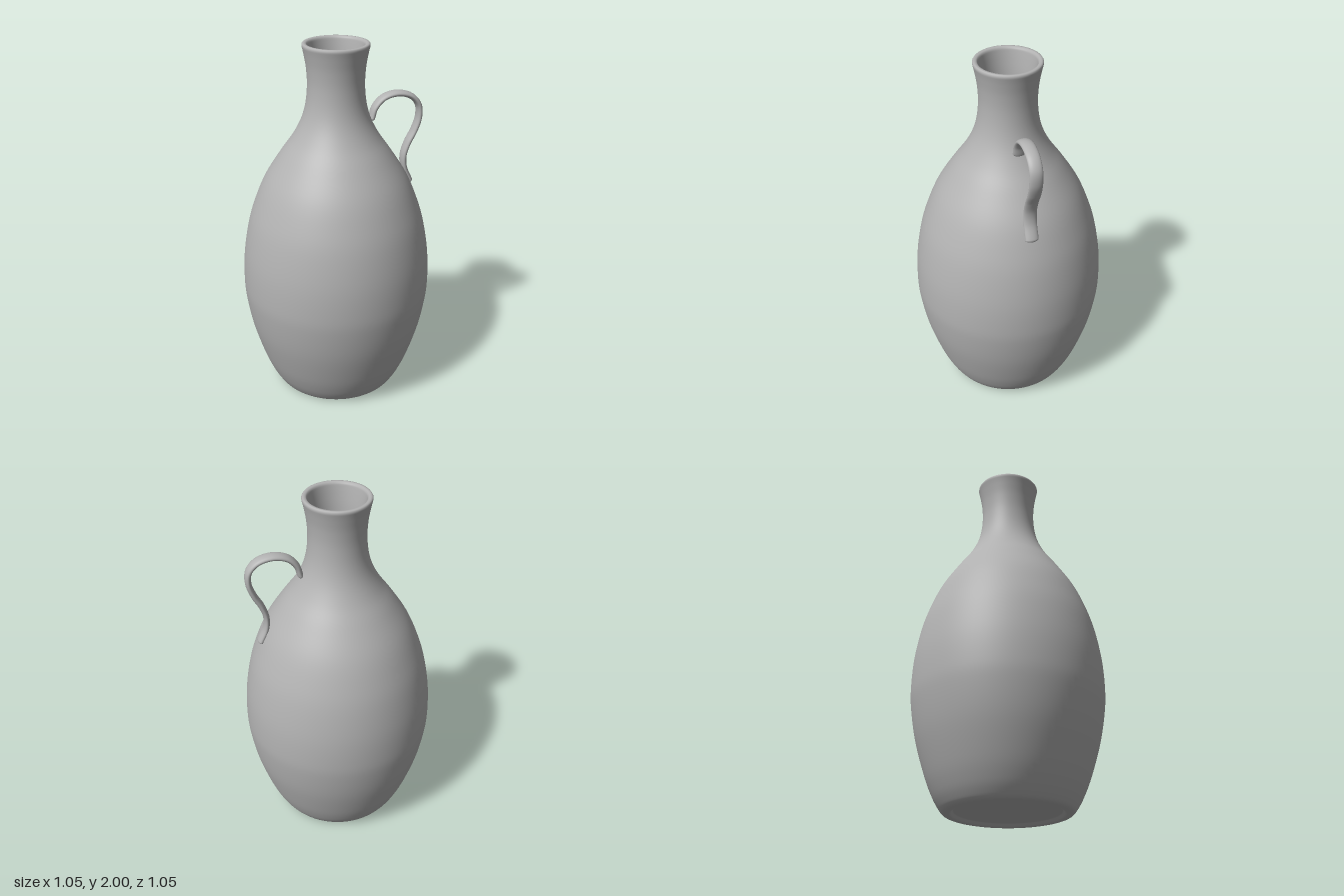
import * as THREE from 'three';

const v2 = (p) => new THREE.Vector2(p[0], p[1]);
const smooth = (pts, n) => new THREE.SplineCurve(pts.map(v2)).getPoints(n);

export function createModel() {
  const group = new THREE.Group();
  const clay = new THREE.MeshStandardMaterial({ color: 0xb2b2b2 });
  clay.name = 'grey clay';

  const add = (name, geometry) => {
    const mesh = new THREE.Mesh(geometry, clay);
    mesh.name = name;
    group.add(mesh);
    return mesh;
  };

  // Body: recessed underside, foot ring, outer wall, rim, inner wall and floor
  const underside = [[0, 0.02], [0.27, 0.02], [0.28, 0.02], [0.286, 0.016], [0.292, 0.006], [0.302, 0.001]].map(v2);
  const outer = smooth([
    [0.315, 0], [0.34, 0.008], [0.362, 0.035], [0.395, 0.095], [0.437, 0.2], [0.49, 0.38],
    [0.52, 0.55], [0.527, 0.67], [0.518, 0.83], [0.488, 1.0], [0.448, 1.13], [0.39, 1.265],
    [0.305, 1.4], [0.235, 1.5], [0.188, 1.59], [0.162, 1.68], [0.152, 1.78],
    [0.156, 1.87], [0.167, 1.94], [0.177, 1.985],
  ], 90);
  const rim = [[0.177, 1.993], [0.173, 1.999], [0.166, 2], [0.157, 1.999], [0.151, 1.993]].map(v2);
  const inner = smooth([
    [0.149, 1.985], [0.142, 1.94], [0.134, 1.87], [0.131, 1.78], [0.14, 1.68], [0.165, 1.59],
    [0.21, 1.5], [0.28, 1.4], [0.365, 1.265], [0.423, 1.13], [0.463, 1.0], [0.493, 0.83],
    [0.502, 0.67], [0.495, 0.55], [0.465, 0.38], [0.412, 0.2], [0.37, 0.1], [0.32, 0.05],
  ], 70);
  const floor = [[0.29, 0.045], [0, 0.045]].map(v2);
  add('body', new THREE.LatheGeometry([...underside, ...outer, ...rim, ...inner, ...floor], 96));

  // Handle: S-shaped strap, a round tube widened across z
  const radius = 0.0165;
  const widen = 2.15;
  const path = new THREE.CatmullRomCurve3([
    [0.199, 1.582], [0.216, 1.636], [0.262, 1.685], [0.338, 1.705], [0.418, 1.685], [0.463, 1.635],
    [0.469, 1.565], [0.446, 1.49], [0.41, 1.42], [0.388, 1.35], [0.392, 1.28], [0.425, 1.202],
  ].map(([x, y]) => new THREE.Vector3(x, y, 0)));
  add('handle', new THREE.TubeGeometry(path, 90, radius, 20).scale(1, 1, widen));

  // Rounded handle ends
  for (const [name, t] of [['handleTopEnd', 0], ['handleBottomEnd', 1]]) {
    const end = add(name, new THREE.SphereGeometry(radius, 20, 14).scale(1, 1, widen));
    end.position.copy(path.getPointAt(t));
  }
  return group;
}
